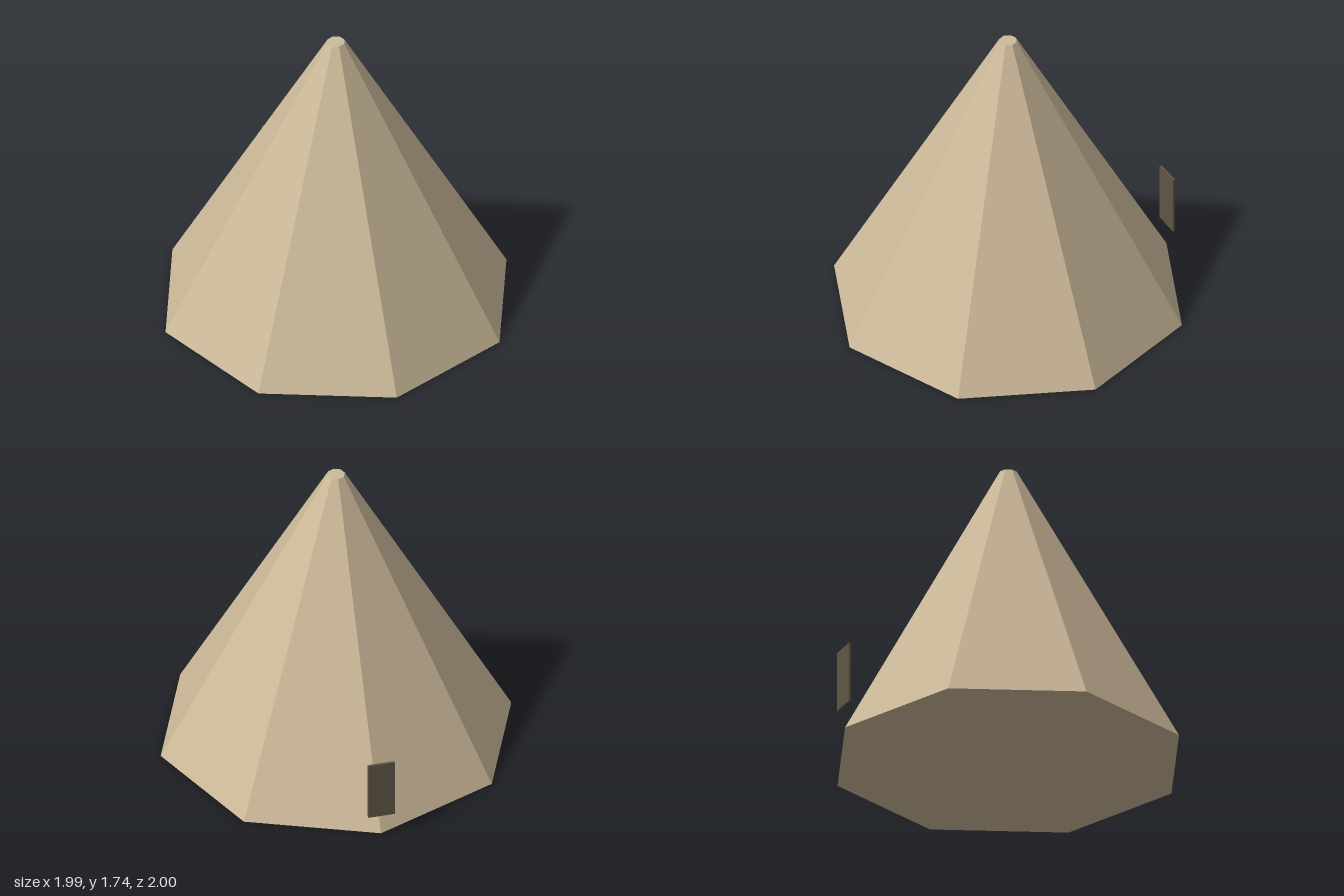
import * as THREE from 'three';

export function createModel() {
  const model = new THREE.Group();

  // eight-sided canvas cone with a small flat tip, corners on the axes
  const canvas = new THREE.Mesh(
    new THREE.CylinderGeometry(0.05, 0.993, 1.74, 8),
    new THREE.MeshStandardMaterial({ color: 0xcdba9a, flatShading: true })
  );
  canvas.name = 'tentCanvas';
  canvas.position.set(0, 0.87, 0.006);
  model.add(canvas);

  // thin upright door flap standing at the back corner
  const flap = new THREE.Mesh(
    new THREE.BoxGeometry(0.15, 0.35, 0.014),
    new THREE.MeshStandardMaterial({ color: 0x5f5546, flatShading: true })
  );
  flap.name = 'doorFlap';
  flap.position.set(0, 0.303, -0.993);
  model.add(flap);

  return model;
}
